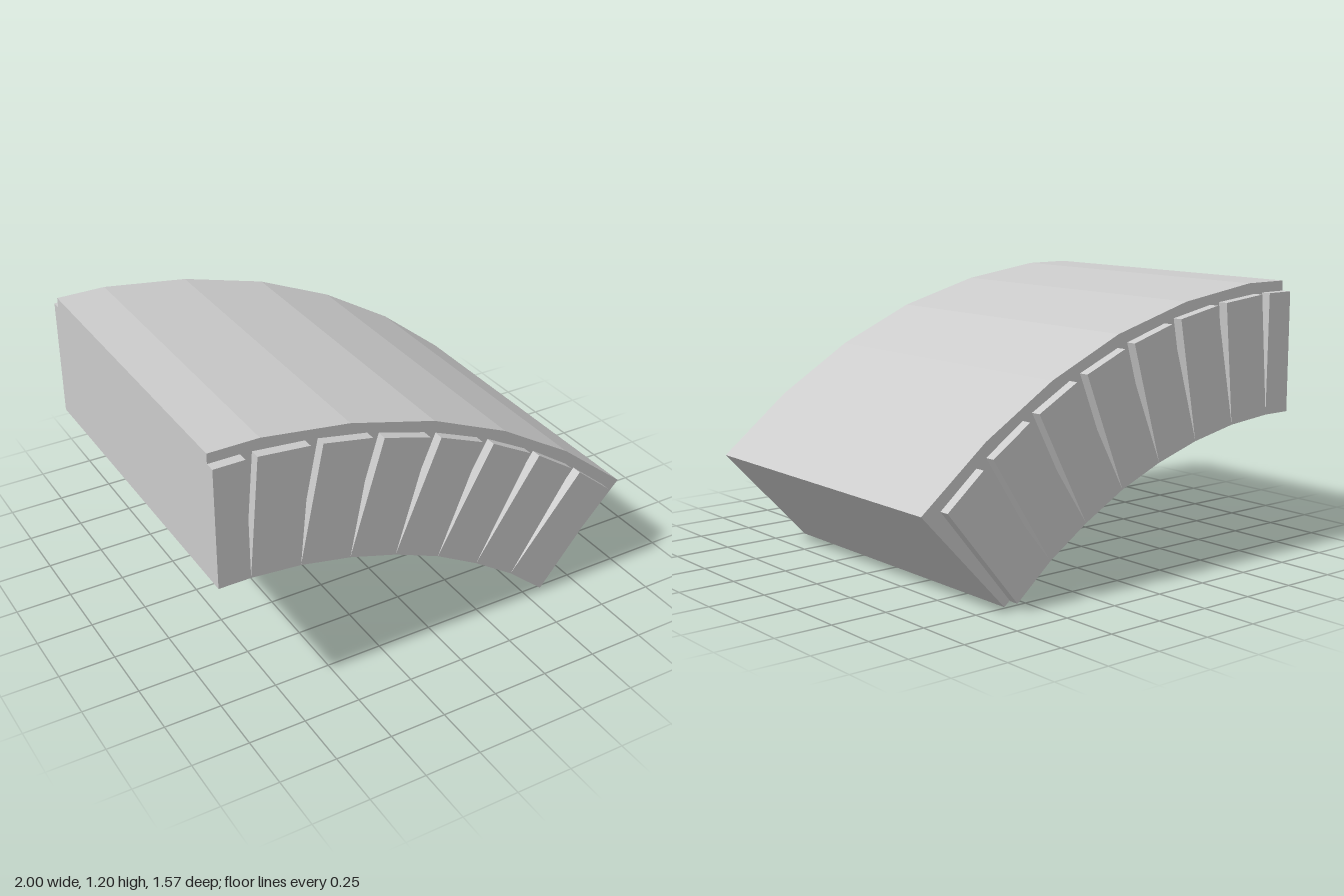
import * as THREE from 'three';

const material = new THREE.MeshStandardMaterial({ color: 0xcccccc, flatShading: true });

// Half arch profile: outer curve (left to right) and inner curve
const outer = [[-1, 1.2], [-0.78, 1.2], [-0.39, 1.145], [0, 1.038], [0.355, 0.882], [0.69, 0.678], [1, 0.43]];
const inner = [[-1, 0.615], [-0.86, 0.615], [-0.64, 0.595], [-0.415, 0.55], [-0.2, 0.485],
  [0.01, 0.4], [0.21, 0.29], [0.4, 0.165], [0.6, 0.003]];

// Top corners of each face stone: left x, y, right x, y
const stoneTops = [
  [-1, 1.155, -0.864, 1.155], [-0.815, 1.152, -0.59, 1.13], [-0.535, 1.122, -0.315, 1.08],
  [-0.262, 1.063, -0.048, 1.0], [0.005, 0.982, 0.21, 0.897], [0.265, 0.872, 0.46, 0.765],
  [0.507, 0.738, 0.69, 0.615], [0.737, 0.58, 0.91, 0.437],
];

const bodyHalf = 0.74;
const stoneDepth = 0.045;

// Extrudes an outline in the xy plane from z upwards by depth
function slab(name, points, z, depth) {
  const shape = new THREE.Shape(points.map(([x, y]) => new THREE.Vector2(x, y)));
  const geometry = new THREE.ExtrudeGeometry(shape, { depth, bevelEnabled: false });
  geometry.translate(0, 0, z);
  const mesh = new THREE.Mesh(geometry, material);
  mesh.name = name;
  return mesh;
}

export function createModel() {
  const group = new THREE.Group();
  group.name = 'archSegment';

  // Main vault
  group.add(slab('vaultBody', [...inner, ...[...outer].reverse()], -bodyHalf, 2 * bodyHalf));

  // Wedge stones standing proud of both faces
  for (const [side, z] of [['front', bodyHalf], ['back', -bodyHalf - stoneDepth]]) {
    const ring = new THREE.Group();
    ring.name = `${side}Stones`;
    stoneTops.forEach(([lx, ly, rx, ry], i) => {
      const last = i === stoneTops.length - 1;
      const foot = last ? [0.57, 0.022] : inner[i + 1];
      ring.add(slab(`${side}Stone${i + 1}`, [inner[i], foot, [rx, ry], [lx, ly]], z, stoneDepth));
    });
    group.add(ring);
  }
  return group;
}
